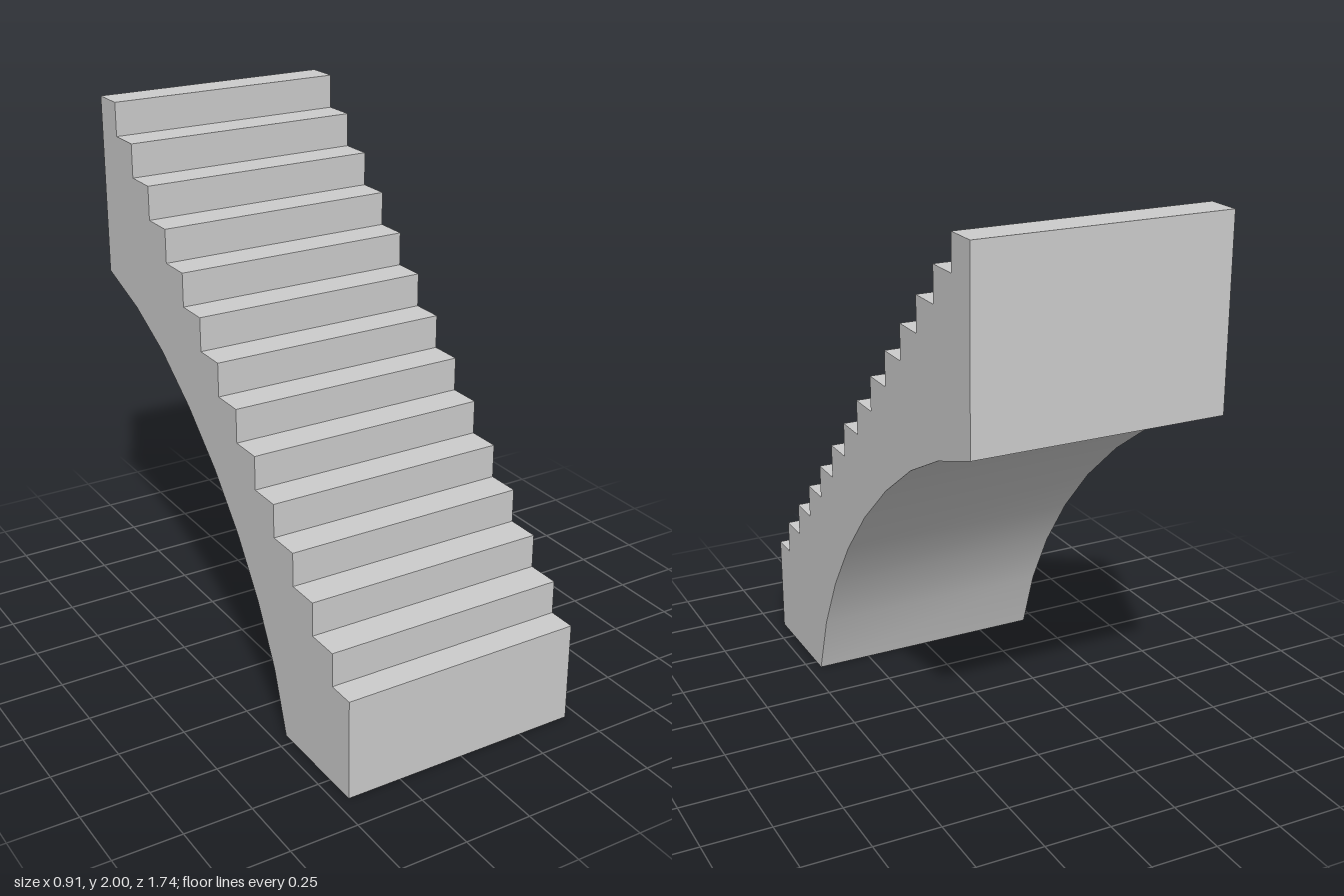
import * as THREE from 'three';
import { toCreasedNormals } from 'three/addons/utils/BufferGeometryUtils.js';

const WIDTH = 0.906;
const HALF_LENGTH = 0.868;
const STEPS = 14;
const RISE = 0.125;
const RUN = 0.1256;
const FIRST_TOP = 0.375;
const SECOND_RISER = 0.763;

// Arched underside as [z, y], from the foot up to the back wall
const ARCH = [
  [0.453, 0], [0.376, 0.232], [0.267, 0.443], [0.127, 0.645], [-0.037, 0.83],
  [-0.228, 1.0], [-0.435, 1.147], [-0.641, 1.252], [-HALF_LENGTH, 1.33],
];

// Side profile: arch, back wall, then the steps down to the front
function sideProfile() {
  const points = ARCH.map(([z, y]) => new THREE.Vector2(z, y));
  let back = -HALF_LENGTH;
  for (let i = STEPS - 1; i >= 0; i--) {
    const top = FIRST_TOP + i * RISE;
    const riser = i === 0 ? HALF_LENGTH : SECOND_RISER - (i - 1) * RUN;
    points.push(new THREE.Vector2(back, top), new THREE.Vector2(riser, top));
    back = riser;
  }
  points.push(new THREE.Vector2(HALF_LENGTH, 0));
  return new THREE.Shape(points);
}

export function createModel() {
  const group = new THREE.Group();
  group.name = 'staircase';

  // Extrude the profile across the width and turn it to face +z
  const solid = new THREE.ExtrudeGeometry(sideProfile(), { depth: WIDTH, bevelEnabled: false });
  solid.translate(0, 0, -WIDTH / 2);
  solid.rotateY(-Math.PI / 2);

  // Smooth arch, sharp steps
  const flight = new THREE.Mesh(
    toCreasedNormals(solid, 0.5),
    new THREE.MeshStandardMaterial({ color: 0xcccccc })
  );
  flight.name = 'archedStairFlight';
  group.add(flight);
  return group;
}
